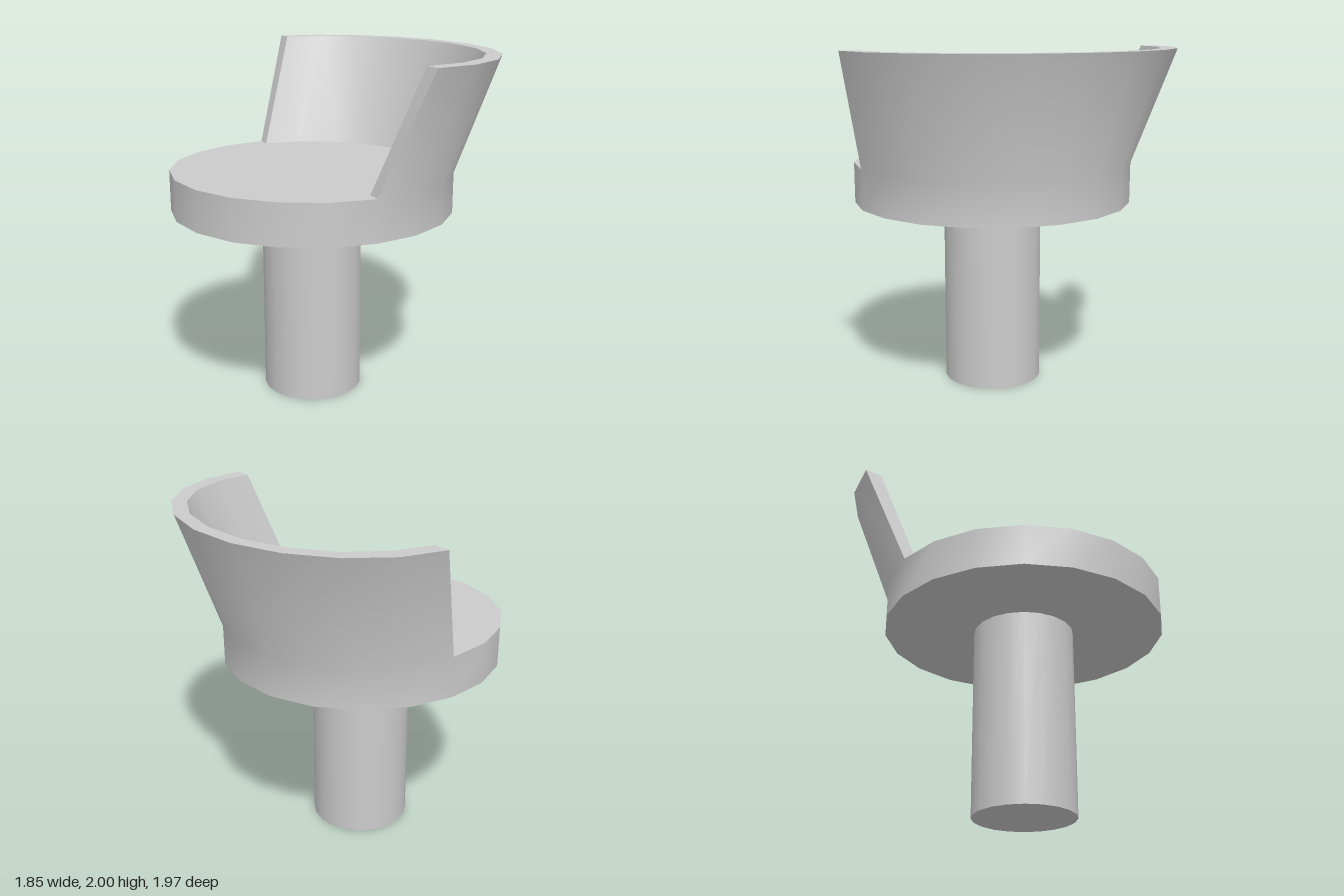
import * as THREE from 'three';
import { mergeGeometries, toCreasedNormals } from 'three/addons/utils/BufferGeometryUtils.js';

const SIDES = 20;
const CX = -0.112;                       // axis of the seat and post
const SEAT_LOW = 1.105, SEAT_TOP = 1.34, TOP = 2;
const R = 0.815;

// Half-ring backrest, leaning toward +x and flaring sideways
function backrestGeometry() {
  const half = SIDES / 2, pos = [], index = [];
  const ring = [                         // [centre x, radius x, radius z, y]
    [CX, R, R, SEAT_TOP],
    [0.11, 0.812, 0.987, TOP],
    [0.11, 0.73, 0.887, TOP],
    [CX, 0.732, 0.732, SEAT_TOP],
  ];
  for (let i = 0; i <= half; i++) {
    const a = (i / half) * Math.PI;
    for (const [cx, rx, rz, y] of ring) pos.push(cx + rx * Math.sin(a), y, rz * Math.cos(a));
  }
  for (let i = 0; i < half; i++) {
    for (let k = 0; k < 3; k++) {
      const a = i * 4 + k, b = a + 4;
      index.push(a, b, a + 1, b, b + 1, a + 1);
    }
  }
  const e = half * 4;                    // end faces
  index.push(0, 1, 2, 0, 2, 3, e, e + 2, e + 1, e, e + 3, e + 2);
  const g = new THREE.BufferGeometry();
  g.setAttribute('position', new THREE.Float32BufferAttribute(pos, 3));
  g.setIndex(index);
  return g.toNonIndexed();
}

// Round seat slab
function seatGeometry() {
  const h = SEAT_TOP - SEAT_LOW;
  const g = new THREE.CylinderGeometry(R, R, h, SIDES).toNonIndexed();
  g.translate(CX, SEAT_LOW + h / 2, 0);
  g.deleteAttribute('uv');
  g.deleteAttribute('normal');
  return g;
}

export function createModel() {
  const group = new THREE.Group();
  const material = new THREE.MeshStandardMaterial({ color: 0xcccccc });

  // Seat and backrest share a smooth outer wall
  const shell = toCreasedNormals(mergeGeometries([seatGeometry(), backrestGeometry()]), 0.6);
  const seat = new THREE.Mesh(shell, material);
  seat.name = 'seatAndBackrest';
  group.add(seat);

  // Pedestal post
  const post = new THREE.Mesh(new THREE.CylinderGeometry(0.291, 0.291, SEAT_LOW, SIDES), material);
  post.position.set(CX, SEAT_LOW / 2, 0);
  post.name = 'post';
  group.add(post);

  return group;
}
